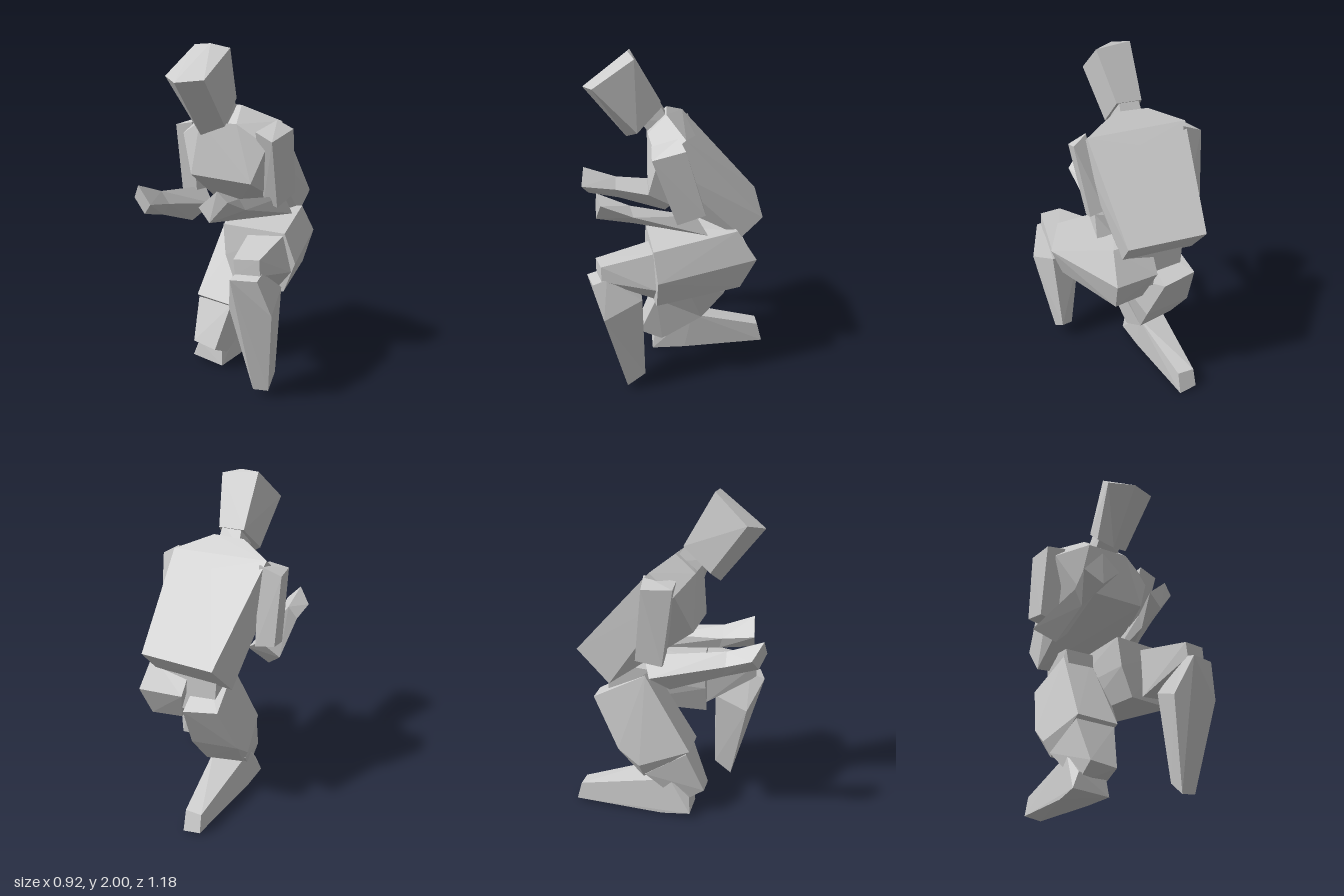
import * as THREE from 'three';
import { ConvexGeometry } from 'three/addons/geometries/ConvexGeometry.js';

const clay = new THREE.MeshStandardMaterial({ color: 0xcccccc });
clay.name = 'lightGrey';

// One faceted body block: the convex solid around a few corner points.
function block(name, ...corners) {
  const points = corners.flat().map((c) => new THREE.Vector3(...c));
  const mesh = new THREE.Mesh(new ConvexGeometry(points), clay);
  mesh.name = name;
  return mesh;
}

function limb(name, ...parts) {
  const group = new THREE.Group();
  group.name = name;
  group.add(...parts);
  return group;
}

export function createModel() {
  const figure = new THREE.Group();
  figure.name = 'crouchingFigure';

  // Head: brow, crown, nape and chin edges
  figure.add(block('head',
    [[-0.235, 1.825, 0.45], [-0.105, 1.795, 0.545], [0.05, 1.81, 0.49]],
    [[-0.16, 1.995, 0.265], [-0.045, 2.0, 0.28], [0.065, 1.975, 0.25]],
    [[-0.15, 1.69, 0.09], [0.01, 1.69, 0.095]],
    [[-0.19, 1.55, 0.25], [-0.105, 1.49, 0.3], [0.02, 1.54, 0.24]]));
  figure.add(block('neck',
    [[-0.15, 1.55, 0.17], [0, 1.55, 0.18], [-0.14, 1.6, 0.04], [0, 1.6, 0.05]],
    [[-0.15, 1.62, 0.23], [0, 1.62, 0.23], [-0.13, 1.71, 0.11], [-0.01, 1.71, 0.11]]));

  // Torso: hem, belly, chest, shoulders and collar
  figure.add(block('torso',
    [[-0.25, 1.075, -0.53], [0.22, 1.065, -0.48], [-0.28, 0.88, -0.33], [0.2, 0.935, -0.365]],
    [[-0.27, 1.225, 0.17], [0.16, 1.21, 0.19]],
    [[-0.385, 1.46, 0.08], [0.24, 1.43, 0.14], [-0.2, 1.55, 0.17], [0.06, 1.55, 0.18]],
    [[-0.36, 1.58, -0.065], [0.25, 1.56, -0.02], [-0.04, 1.5, -0.11]],
    [[-0.17, 1.65, 0.05], [0.03, 1.65, 0.07]]));
  figure.add(block('pelvis',
    [[-0.2, 0.98, -0.36], [0.15, 0.98, -0.36], [-0.2, 0.95, -0.1], [0.15, 0.95, -0.1]],
    [[-0.18, 0.7, -0.36], [0.15, 0.7, -0.36], [-0.15, 0.7, -0.1], [0.15, 0.7, -0.1]]));

  // Left arm
  const leftWrist = [[0.15, 1.145, 0.3], [0.07, 1.08, 0.3], [0.1, 1.01, 0.28], [0.18, 1.08, 0.28]];
  figure.add(limb('leftArm',
    block('leftUpperArm',
      [[0.18, 1.51, 0.17], [0.29, 1.46, 0.175], [0.33, 1.52, -0.01], [0.24, 1.57, 0.02]],
      [[0.16, 1.08, 0.03], [0.25, 1.05, 0.03], [0.29, 1.12, -0.13], [0.2, 1.14, -0.13]]),
    block('leftForearm', leftWrist,
      [[0.24, 1.1, -0.08], [0.14, 1.06, -0.06], [0.15, 0.97, -0.14], [0.26, 0.98, -0.15]]),
    block('leftHand', leftWrist,
      [[0.125, 1.22, 0.49], [0.01, 1.12, 0.5], [0.08, 1.04, 0.5], [0.18, 1.16, 0.47]])));

  // Right arm
  const rightWrist = [[-0.345, 1.15, 0.37], [-0.285, 1.08, 0.375], [-0.35, 1.0, 0.35], [-0.405, 1.08, 0.37]];
  figure.add(limb('rightArm',
    block('rightUpperArm',
      [[-0.46, 1.51, -0.09], [-0.33, 1.56, -0.1], [-0.44, 1.51, 0.08], [-0.32, 1.53, 0.08]],
      [[-0.45, 1.1, -0.13], [-0.34, 1.09, -0.15], [-0.44, 1.07, 0.02], [-0.33, 1.05, 0.02]]),
    block('rightForearm', rightWrist,
      [[-0.35, 1.1, -0.1], [-0.24, 1.01, -0.02], [-0.35, 0.9, 0.05], [-0.455, 1.0, -0.05]]),
    block('rightHand', rightWrist,
      [[-0.35, 1.22, 0.575], [-0.255, 1.12, 0.59], [-0.33, 1.05, 0.55], [-0.43, 1.13, 0.515]])));

  // Left leg, raised with the knee forward
  figure.add(limb('leftLeg',
    block('leftThigh',
      [[-0.01, 0.98, -0.3], [0.24, 0.99, -0.33], [0.27, 0.81, -0.445], [0, 0.81, -0.42]],
      [[0.24, 0.615, -0.355], [0.05, 0.62, -0.33]],
      [[-0.02, 0.955, 0.2], [0.38, 0.945, 0.18], [0.44, 0.77, 0.16], [0, 0.77, 0.21]],
      [[0.37, 0.59, 0.165], [0.07, 0.59, 0.21]]),
    block('leftKnee',
      [[0.14, 0.91, 0.18], [0.37, 0.93, 0.18], [0.42, 0.72, 0.17], [0.15, 0.61, 0.2], [0.35, 0.63, 0.18]],
      [[0.24, 0.86, 0.51], [0.385, 0.87, 0.48], [0.39, 0.78, 0.48], [0.25, 0.77, 0.51]]),
    block('leftShin',
      [[0.25, 0.76, 0.565], [0.4, 0.765, 0.53], [0.25, 0.79, 0.47], [0.39, 0.79, 0.45]],
      [[0.46, 0.56, 0.475], [0.18, 0.55, 0.46], [0.22, 0.63, 0.25], [0.4, 0.65, 0.25]],
      [[0.28, 0.03, 0.36], [0.375, 0.04, 0.35], [0.29, 0.11, 0.25], [0.36, 0.11, 0.24]])));

  // Right leg, folded with the lower part trailing back
  figure.add(limb('rightLeg',
    block('rightThigh',
      [[-0.2, 0.91, -0.13], [-0.01, 0.915, -0.13], [-0.24, 0.77, -0.44], [-0.03, 0.74, -0.46]],
      [[-0.3, 0.46, -0.28], [0, 0.44, -0.3], [-0.31, 0.36, -0.15], [-0.27, 0.27, -0.13], [-0.03, 0.25, -0.16]],
      [[-0.25, 0.45, 0.15], [0, 0.43, 0.16], [0.08, 0.6, -0.02]]),
    block('rightKnee',
      [[-0.25, 0.43, 0.13], [-0.01, 0.415, 0.14], [-0.28, 0.29, -0.12], [-0.03, 0.25, -0.16]],
      [[-0.22, 0.175, 0.24], [-0.06, 0.15, 0.245], [-0.22, 0.08, 0.1], [-0.06, 0.08, 0.1]]),
    block('rightLowerLeg',
      [[-0.24, 0.13, 0.15], [-0.07, 0.11, 0.15], [-0.28, 0.035, 0.16], [-0.06, 0.01, 0.165]],
      [[-0.25, 0.25, 0.03], [-0.05, 0.26, -0.1], [-0.26, 0.01, -0.02], [-0.06, 0.005, -0.05]],
      [[-0.195, 0.13, -0.56], [-0.09, 0.13, -0.555], [-0.2, 0.02, -0.59], [-0.09, 0, -0.59]])));

  return figure;
}
